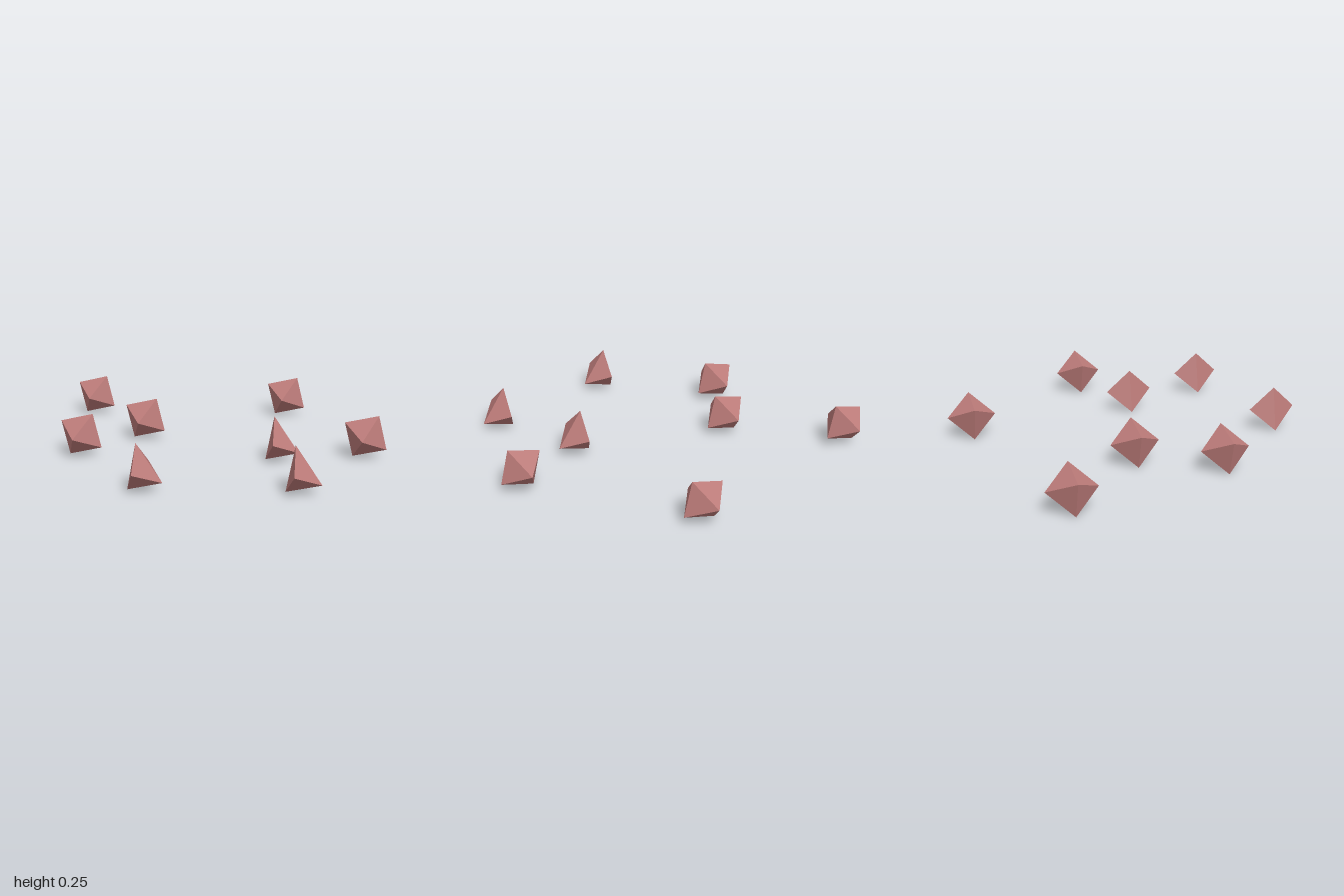
import * as THREE from 'three';

const HALF_DEPTH = 0.135;

// Faceted double pyramid: a counter-clockwise ring in the xy plane with tips at +z and -z.
function bipyramid(ring) {
  const positions = [];
  ring.forEach(([ax, ay], i) => {
    const [bx, by] = ring[(i + 1) % ring.length];
    positions.push(ax, ay, 0, bx, by, 0, 0, 0, HALF_DEPTH);
    positions.push(bx, by, 0, ax, ay, 0, 0, 0, -HALF_DEPTH);
  });
  const geometry = new THREE.BufferGeometry();
  geometry.setAttribute('position', new THREE.Float32BufferAttribute(positions, 3));
  geometry.computeVertexNormals();
  return geometry;
}

export function createModel() {
  const group = new THREE.Group();
  group.name = 'scatteredStones';
  const stone = new THREE.MeshStandardMaterial({ color: 0xbc7b79, flatShading: true });
  stone.name = 'dusty rose stone';

  // Four-sided stones are tilted octahedra; three-sided ones have a single raised peak.
  const lower = [[-0.069, -0.118], [0.116, -0.069]];
  const octahedral = bipyramid([...lower, [0.069, 0.118], [-0.116, 0.069]]);
  const peaked = bipyramid([...lower, [-0.022, 0.127]]);

  // Centre of each stone on the ground plan, as [x, z]
  const scatter = (geometry, name, places) => places.forEach(([x, z], i) => {
    const mesh = new THREE.Mesh(geometry, stone);
    mesh.name = `${name}${i + 1}`;
    mesh.position.set(x, 0.118, z);
    group.add(mesh);
  });
  scatter(octahedral, 'octahedralStone', [
    [-0.884, -0.567], [-0.63, 0.33], [-0.4, -0.09], [0.278, -0.835], [0.884, -0.043],
  ]);
  scatter(peaked, 'peakedStone', [[-0.118, 0.833], [0.436, 0.148], [0.653, 0.66]]);

  return group;
}
